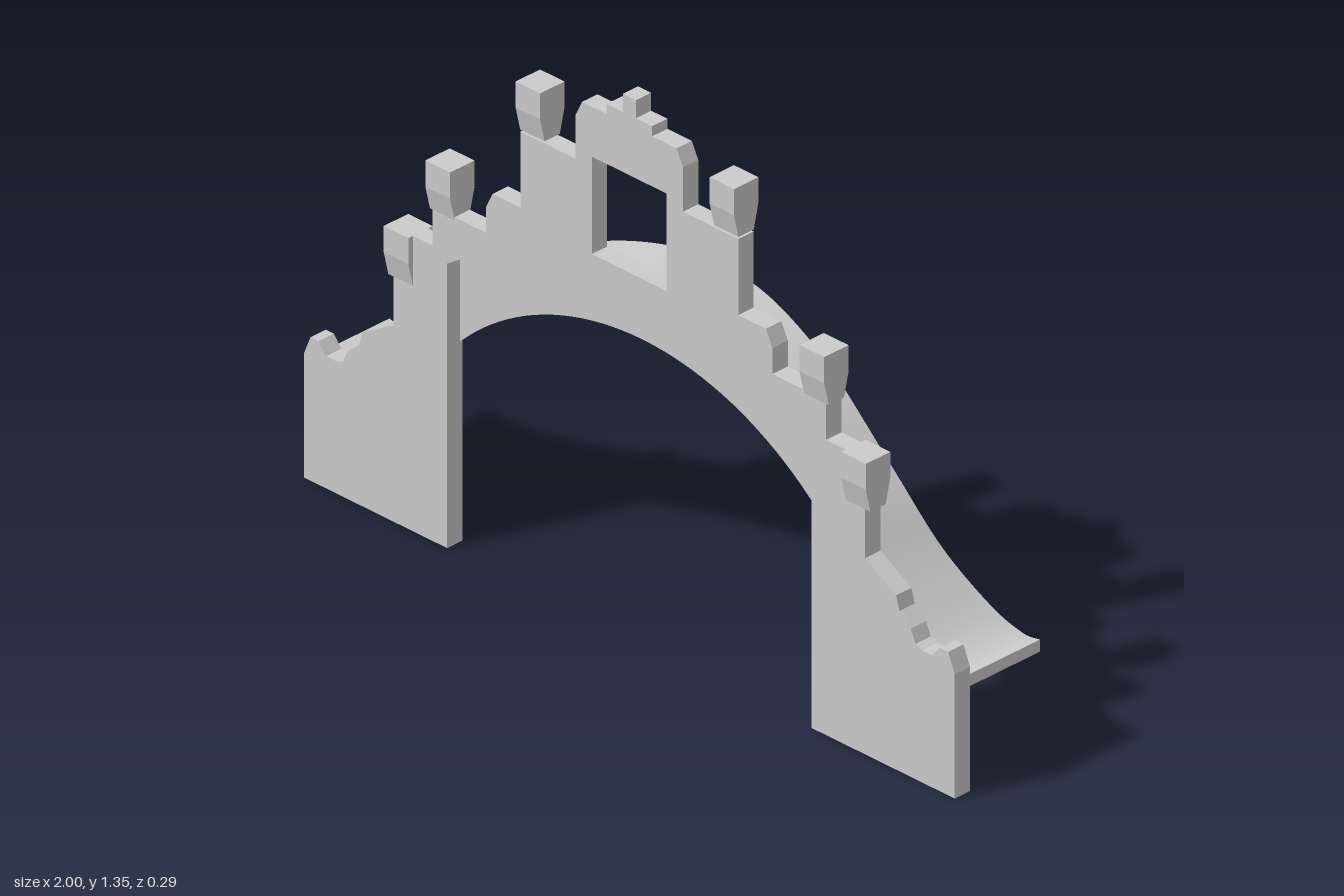
import * as THREE from 'three';
import { toCreasedNormals } from 'three/addons/utils/BufferGeometryUtils.js';

const material = new THREE.MeshStandardMaterial({ color: 0xcccccc });
const BACK = 0.085, FRONT = 0.132, SPAN = 0.56;

function addMesh(group, geometry, name) {
  const mesh = new THREE.Mesh(geometry, material);
  mesh.name = name;
  group.add(mesh);
  return mesh;
}

// Points of a circular arc from x = +SPAN to x = -SPAN
function arc(crown, spring, n = 40) {
  const rise = crown - spring;
  const r = (SPAN * SPAN + rise * rise) / (2 * rise);
  const half = Math.asin(SPAN / r);
  return Array.from({ length: n + 1 }, (_, i) => {
    const a = half * (1 - (2 * i) / n);
    return new THREE.Vector2(r * Math.sin(a), crown - r + r * Math.cos(a));
  });
}

const extrude = (shape, depth) =>
  new THREE.ExtrudeGeometry(shape, { depth, bevelEnabled: false });

// Stepped wall with piers, arched opening and window
function wallGeometry() {
  const half = [
    [0.02, 1.35], [0.02, 1.305], [0.07, 1.305], [0.07, 1.28], [0.145, 1.28], [0.165, 1.24],
    [0.165, 1.13], [0.335, 1.13], [0.335, 0.94], [0.42, 0.94], [0.44, 0.9], [0.44, 0.835],
    [0.605, 0.835], [0.605, 0.737], [0.665, 0.737], [0.665, 0.63], [0.725, 0.63], [0.725, 0.49],
    [0.82, 0.435], [0.83, 0.4], [0.865, 0.37], [0.88, 0.338], [0.9, 0.33], [0.932, 0.33],
    [0.955, 0.358], [0.98, 0.358], [1, 0.31], [1, 0], [SPAN, 0],
  ].map(([x, y]) => new THREE.Vector2(x, y));
  const mirrored = half.map((p) => new THREE.Vector2(-p.x, p.y)).reverse();
  const shape = new THREE.Shape([...half, ...arc(0.885, 0.71), ...mirrored]);
  const window = [[-0.115, 0.912], [0.115, 0.912], [0.115, 1.155], [-0.115, 1.155]];
  shape.holes.push(new THREE.Path(window.map(([x, y]) => new THREE.Vector2(x, y))));
  return extrude(shape, FRONT - BACK);
}

// Post head: square block on a tapered neck, extruded across x
function postGeometry(width) {
  const wall = (FRONT - BACK) / 2, wide = 0.0375;
  const profile = [[-wall, -0.125], [wall, -0.125], [wide, -0.065], [wide, 0], [-wide, 0], [-wide, -0.065]];
  const shape = new THREE.Shape(profile.map(([z, y]) => new THREE.Vector2(z, y)));
  return extrude(shape, width).translate(0, 0, -width / 2).rotateY(Math.PI / 2);
}

// Curved deck: rectangular sections swept along x with varying height, width and thickness
function deckGeometry() {
  const side = [[0.2, 0.802], [0.4, 0.727], [0.6, 0.575], [0.75, 0.42], [0.87, 0.323], [0.95, 0.289], [1, 0.292]];
  const path = new THREE.SplineCurve([
    ...side.map(([x, y]) => new THREE.Vector2(-x, y)).reverse(),
    new THREE.Vector2(0, 0.825),
    ...side.map(([x, y]) => new THREE.Vector2(x, y)),
  ]);
  const rings = path.getPoints(84).map(({ x, y }) => {
    const a = Math.abs(x);
    const rear = a < 0.62
      ? -0.1135 - 0.0325 * Math.cos((Math.PI * a) / 0.62)
      : -0.1055 + 0.0245 * Math.cos((Math.PI * (a - 0.62)) / 0.38);
    const low = y - 0.03 - 0.04 * (1 - a * a);
    return [[x, y, BACK], [x, y, rear], [x, low, rear], [x, low, BACK]];
  });
  const pos = [];
  const quad = (a, b, c, d) => pos.push(...a, ...b, ...c, ...a, ...c, ...d);
  for (let i = 0; i < rings.length - 1; i++) {
    const p = rings[i], q = rings[i + 1];
    for (let j = 0; j < 4; j++) {
      const k = (j + 1) % 4;
      quad(p[j], q[j], q[k], p[k]);
    }
  }
  quad(...rings[0]);
  quad(...[...rings[rings.length - 1]].reverse());
  const geometry = new THREE.BufferGeometry();
  geometry.setAttribute('position', new THREE.Float32BufferAttribute(pos, 3));
  return toCreasedNormals(geometry, 0.5);
}

export function createModel() {
  const group = new THREE.Group();
  group.name = 'archBridge';

  addMesh(group, wallGeometry(), 'facadeWall').position.z = BACK;

  // Thin arch band set back between the piers
  const band = new THREE.Shape([...arc(0.73, 0.5), ...arc(0.885, 0.71).reverse()]);
  addMesh(group, extrude(band, 0.008), 'archBand').position.z = BACK;

  // Mirrored pairs of posts: centre x, top y, width
  for (const [x, y, width] of [[0.298, 1.26, 0.075], [0.575, 0.952, 0.076], [0.703, 0.737, 0.076]]) {
    for (const s of [1, -1]) {
      addMesh(group, postGeometry(width), s > 0 ? 'leftPost' : 'rightPost')
        .position.set(s * x, y, (FRONT + BACK) / 2);
    }
  }

  addMesh(group, deckGeometry(), 'walkway');
  return group;
}
